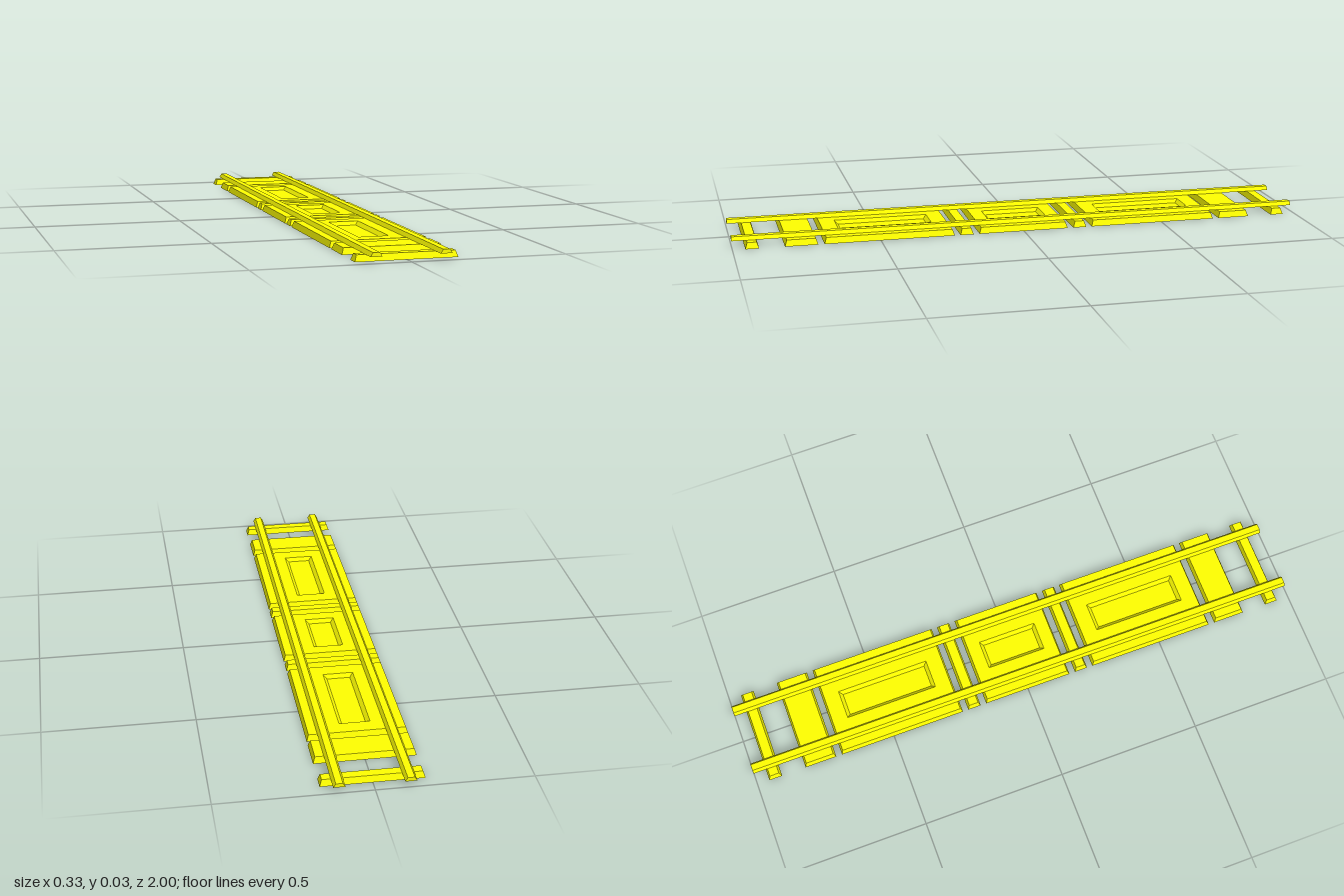
import * as THREE from 'three';

const material = new THREE.MeshStandardMaterial({ color: 0xffff00, flatShading: true });

// Stack of rectangles [halfX, halfZ, y], joined by walls and capped at both ends
function rectLoft(rings) {
  const positions = [];
  const corners = ([x, z, y]) => [[-x, y, z], [x, y, z], [x, y, -z], [-x, y, -z]];
  const quad = (a, b, c, d) => positions.push(...a, ...b, ...c, ...a, ...c, ...d);
  const loops = rings.map(corners);
  for (let i = 0; i < loops.length - 1; i++) {
    const lower = loops[i], upper = loops[i + 1];
    for (let k = 0; k < 4; k++) {
      const n = (k + 1) % 4;
      quad(lower[k], lower[n], upper[n], upper[k]);
    }
  }
  quad(...loops[0].slice().reverse());
  quad(...loops[loops.length - 1]);
  const geometry = new THREE.BufferGeometry();
  geometry.setAttribute('position', new THREE.Float32BufferAttribute(positions, 3));
  geometry.computeVertexNormals();
  return geometry;
}

export function createModel() {
  const group = new THREE.Group();
  const add = (name, rings, x, z) => {
    const mesh = new THREE.Mesh(rectLoft(rings), material);
    mesh.name = name;
    mesh.position.set(x, 0, z);
    group.add(mesh);
  };

  const halfWidth = 0.165, bevel = 0.007, height = 0.021;
  const slab = (halfLength) => [
    [halfWidth, halfLength, 0],
    [halfWidth - bevel, halfLength - bevel, height],
  ];
  // Slab with a sloped pocket sunk into its top
  const pocketSlab = (halfLength, pocket) => [
    ...slab(halfLength),
    [0.051, pocket, height],
    [0.039, pocket - 0.012, 0.009],
  ];

  // Cross pieces, mirrored front and back
  for (const side of [-1, 1]) {
    add('endSleeper', slab(0.023), 0, side * 0.934);
    add('shortSlab', slab(0.056), 0, side * 0.769);
    add('longPanel', pocketSlab(0.224, 0.163), 0, side * 0.468);
    add('middleSleeper', slab(0.023), 0, side * 0.201);
  }
  add('centrePanel', pocketSlab(0.157, 0.104), 0, 0);

  // Rails with a tapered section
  for (const [name, x] of [['leftRail', 0.111], ['rightRail', -0.111]]) {
    add(name, [[0.019, 1, height], [0.011, 1, 0.034]], x, 0);
  }
  return group;
}
